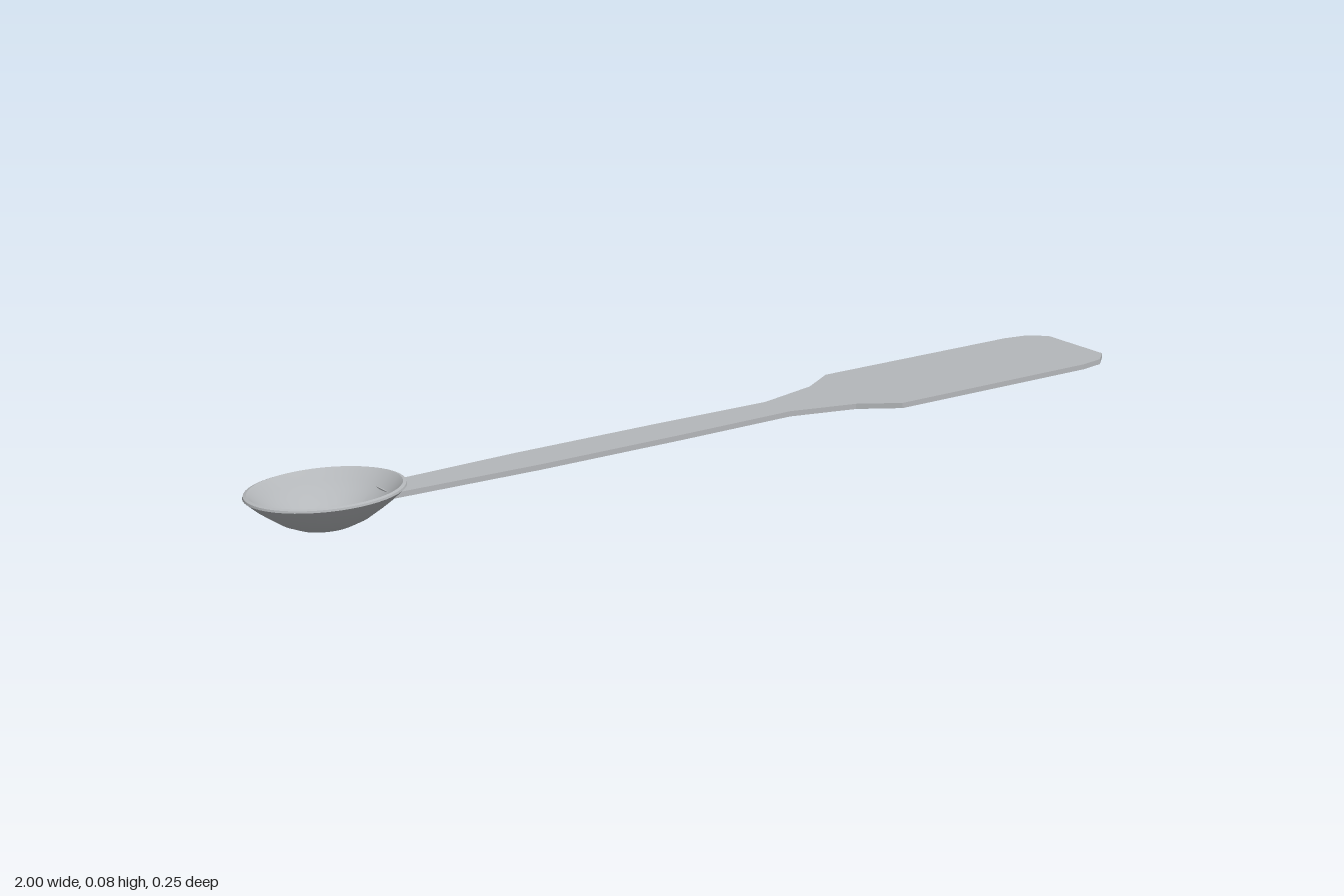
import * as THREE from 'three';
import { toCreasedNormals } from 'three/addons/utils/BufferGeometryUtils.js';

export function createModel() {
  const model = new THREE.Group();
  model.name = 'measuringSpoon';
  const steel = new THREE.MeshStandardMaterial({ color: 0xb4b7ba });
  steel.name = 'steel';

  const add = (name, geometry) => {
    const mesh = new THREE.Mesh(geometry, steel);
    mesh.name = name;
    model.add(mesh);
  };

  // Oval bowl: closed shell profile, outside upwards, over the rim, then down the inside
  const profile = [
    [0, 0], [0.022, 0.002], [0.045, 0.009], [0.068, 0.022], [0.09, 0.041],
    [0.107, 0.057], [0.122, 0.074], [0.121, 0.078], [0.116, 0.08],
    [0.112, 0.076], [0.1, 0.06], [0.084, 0.044], [0.064, 0.027],
    [0.043, 0.014], [0.021, 0.007], [0, 0.005],
  ].map(([r, y]) => new THREE.Vector2(r, y));
  const bowl = new THREE.LatheGeometry(profile, 48);
  bowl.scale(0.159 / 0.122, 1, 1);
  bowl.translate(-0.841, 0, 0);
  add('bowl', toCreasedNormals(bowl, 0.7));

  // Flat handle widening into a paddle: half outline, mirrored across its length
  const half = [
    [-0.722, 0.034], [-0.4, 0.045], [-0.07, 0.045], [0.2, 0.041], [0.34, 0.077],
    [0.42, 0.127], [0.91, 0.127], [0.965, 0.117], [1, 0.085],
  ];
  const outline = [...half, ...half.map(([x, z]) => [x, -z]).reverse()];
  const shape = new THREE.Shape(outline.map(([x, z]) => new THREE.Vector2(x, z)));
  const handle = new THREE.ExtrudeGeometry(shape, { depth: 0.011, bevelEnabled: false });
  handle.rotateX(-Math.PI / 2);
  handle.translate(0, 0.043, 0);
  add('handleAndPaddle', handle);

  return model;
}
